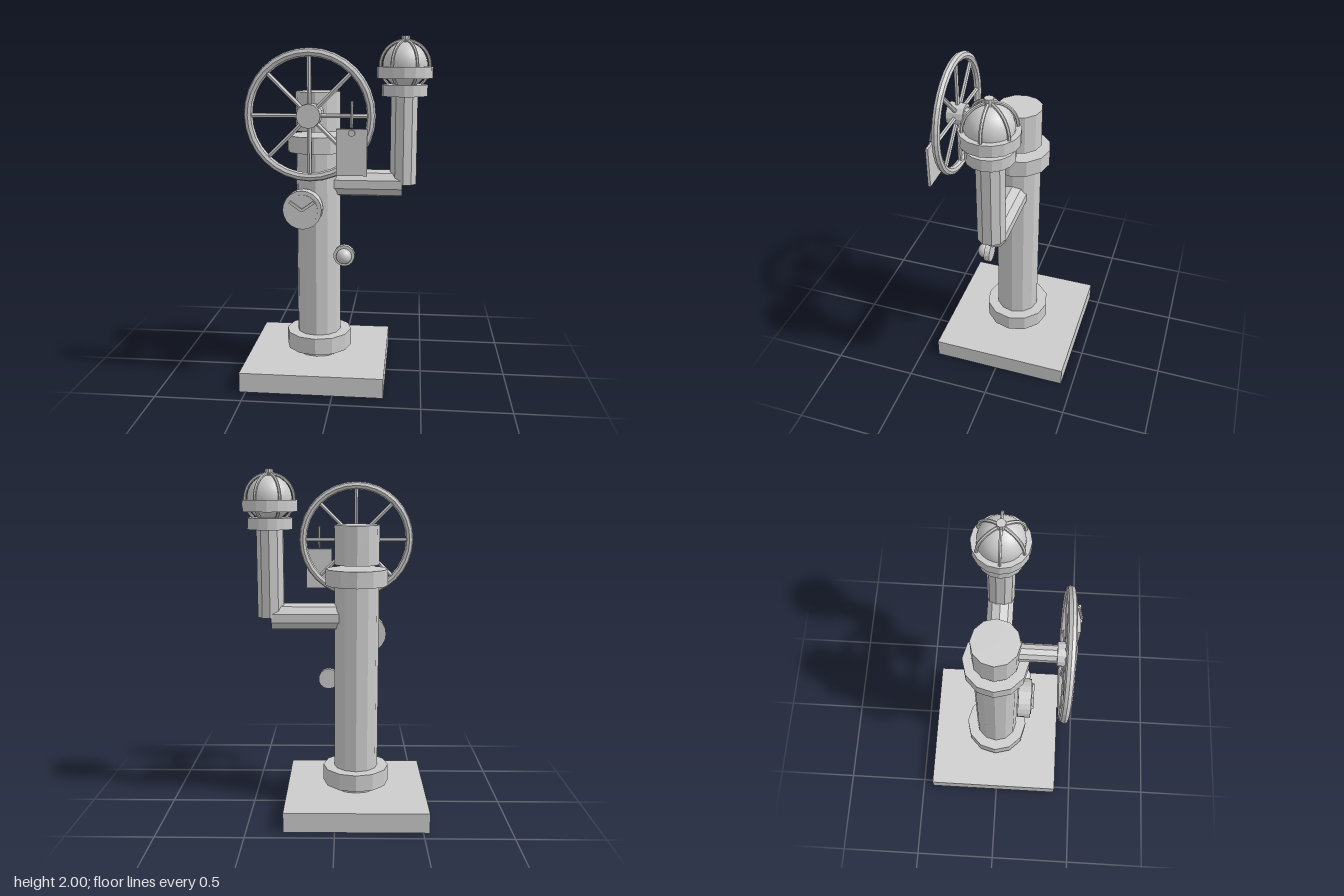
import * as THREE from 'three';

export function createModel() {
  const model = new THREE.Group();
  const metal = new THREE.MeshStandardMaterial({ color: 0xcccccc });
  metal.name = 'grey metal';

  // faceted geometry: one normal per face
  const flat = (geo) => {
    const g = geo.index ? geo.toNonIndexed() : geo;
    g.computeVertexNormals();
    return g;
  };
  const add = (name, geo, x, y, z, parent = model) => {
    const mesh = new THREE.Mesh(geo, metal);
    mesh.name = name;
    mesh.position.set(x, y, z);
    parent.add(mesh);
    return mesh;
  };
  const cyl = (r, h, sides) => flat(new THREE.CylinderGeometry(r, r, h, sides));
  // upright cylinder between two heights
  const upright = (name, r, y0, y1, sides, x, z) =>
    add(name, cyl(r, y1 - y0, sides), x, (y0 + y1) / 2, z);
  // cylinder along z between two depths
  const facing = (name, r, z0, z1, sides, x, y, parent = model) =>
    add(name, cyl(r, z1 - z0, sides).rotateX(Math.PI / 2), x, y, (z0 + z1) / 2, parent);

  const PX = -0.123, PZ = -0.02; // column axis
  const LX = 0.374;              // lamp axis

  // base and column
  add('basePlate', flat(new THREE.BoxGeometry(0.825, 0.115, 0.825)), PX, 0.0575, PZ);
  upright('column', 0.13, 0.115, 1.42, 12, PX, PZ);
  upright('lowerCollar', 0.195, 0.15, 0.25, 12, PX, PZ);
  upright('upperCollar', 0.18, 1.345, 1.44, 12, PX, PZ);
  upright('columnCap', 0.13, 1.465, 1.69, 12, PX, PZ);

  // bent side pipe
  const arm = cyl(0.08, 0.42, 10).rotateY(Math.PI / 2).rotateZ(Math.PI / 2);
  add('sidePipe', arm, LX - 0.215, 1.16, PZ);
  upright('risingPipe', 0.08, 1.16, 1.7, 10, LX, PZ);

  // caged lamp
  upright('lampFlange', 0.13, 1.665, 1.73, 16, LX, PZ);
  upright('lampRing', 0.158, 1.765, 1.83, 16, LX, PZ);
  add('lampGlobe', new THREE.SphereGeometry(0.128, 24, 16), LX, 1.838, PZ);
  upright('lampFinial', 0.025, 1.955, 2.0, 10, LX, PZ);
  const cage = new THREE.Group();
  cage.name = 'lampCage';
  cage.position.set(LX, 1.835, PZ);
  for (let i = 0; i < 6; i++) {
    const rib = flat(new THREE.TorusGeometry(0.14, 0.009, 6, 14, Math.PI * 0.77));
    rib.rotateZ(-Math.PI * 0.27).rotateY((i * Math.PI) / 3);
    add('cageRib', rib, 0, 0, 0, cage);
  }
  model.add(cage);

  // hand wheel
  const WY = 1.58;
  facing('wheelShaft', 0.048, 0.09, 0.3, 10, PX, WY);
  const wheel = new THREE.Group();
  wheel.name = 'handWheel';
  wheel.position.set(PX, WY, 0.345);
  add('wheelRim', flat(new THREE.TorusGeometry(0.33, 0.024, 8, 32)), 0, 0, 0, wheel);
  facing('wheelHub', 0.065, -0.05, 0.05, 12, 0, 0, wheel);
  for (let i = 0; i < 8; i++) {
    const spoke = cyl(0.013, 0.28, 6).translate(0, 0.19, 0).rotateZ((i * Math.PI) / 4);
    add('wheelSpoke', spoke, 0, 0, 0, wheel);
  }
  model.add(wheel);

  // pressure dial with two hands
  const DX = -0.192, DY = 1.03;
  facing('dialCase', 0.112, 0.112, 0.185, 20, DX, DY);
  facing('dialFace', 0.09, 0.18, 0.19, 20, DX, DY);
  for (const [dx, dy] of [[-0.07, 0.05], [0.07, 0.05]]) {
    const hand = flat(new THREE.BoxGeometry(Math.hypot(dx, dy), 0.016, 0.012));
    add('dialHand', hand, DX + dx / 2, DY + dy / 2, 0.196).rotation.z = Math.atan2(dy, dx);
  }

  // signal button
  facing('buttonRing', 0.062, 0.096, 0.13, 14, 0.043, 0.753);
  add('buttonBulb', new THREE.SphereGeometry(0.045, 20, 14), 0.043, 0.753, 0.14);

  // hanging tag
  add('tag', flat(new THREE.BoxGeometry(0.163, 0.247, 0.016)), 0.109, 1.395, 0.411);
  facing('tagEyelet', 0.019, 0.415, 0.427, 6, 0.109, 1.497);
  add('tagCord', cyl(0.008, 0.14, 6), 0.108, 1.592, 0.408).rotation.x = -0.21;

  return model;
}
